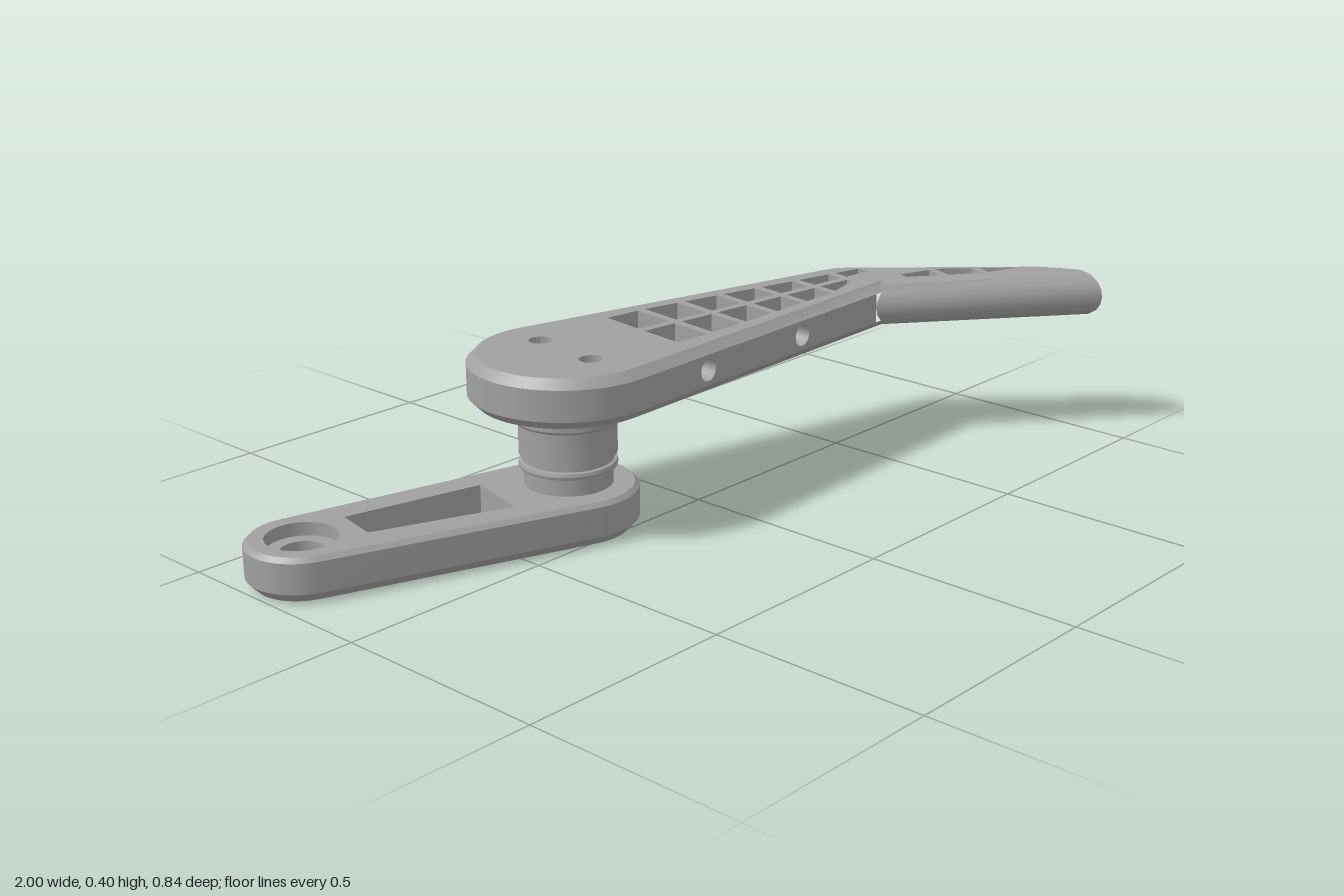
import * as THREE from 'three';
import { toCreasedNormals } from 'three/addons/utils/BufferGeometryUtils.js';

// Plan points are (x, v) with v = -z, listed counter-clockwise from above.
const V = (x, z) => new THREE.Vector2(x, -z);
const rad = THREE.MathUtils.degToRad;
const UP = (a, b, h) => [a, h, -b];

function arc(c, r, from, to, n) {
  return Array.from({ length: n + 1 }, (_, i) => {
    const t = rad(from + ((to - from) * i) / n);
    return new THREE.Vector2(c.x + r * Math.cos(t), c.y + r * Math.sin(t));
  });
}
const circle = (c, r, n = 28) => arc(c, r, 0, 360, n).slice(0, n);

// Flat face with holes, in the plane h of a frame
function cap(out, frame, contour, holes, h, flip = false) {
  const pts = [contour, ...holes].flat();
  const faces = THREE.ShapeUtils.triangulateShape(contour.slice(), holes.map((p) => p.slice().reverse()));
  const all = [contour, ...holes.map((p) => p.slice().reverse())].flat();
  if (all.length !== pts.length) return;
  for (const [i, j, k] of faces) {
    const [a, b, c] = [all[i], all[j], all[k]];
    const ccw = (b.x - a.x) * (c.y - a.y) - (b.y - a.y) * (c.x - a.x) > 0;
    for (const p of ccw !== flip ? [a, b, c] : [a, c, b]) out.push(...frame(p.x, p.y, h));
  }
}

// Wall between two rings of equal length
function wall(out, frame, lo, hLo, hi, hHi, skip = () => false) {
  lo.forEach((a0, i) => {
    if (skip(i)) return;
    const j = (i + 1) % lo.length;
    const [a1, b0, b1] = [lo[j], hi[i], hi[j]];
    for (const [p, h] of [[a0, hLo], [a1, hLo], [b1, hHi], [a0, hLo], [b1, hHi], [b0, hHi]])
      out.push(...frame(p.x, p.y, h));
  });
}

// Moves each edge of an outline inward by its own amount
function inset(pts, amount) {
  const n = pts.length;
  const normal = (i) => {
    const a = pts[i], b = pts[(i + 1) % n];
    return new THREE.Vector2(a.y - b.y, b.x - a.x).normalize();
  };
  return pts.map((p, i) => {
    const k = (i + n - 1) % n;
    const n1 = normal(k), n2 = normal(i), i1 = amount(k), i2 = amount(i);
    if (Math.abs(i1 - i2) < 1e-6) return p.clone().addScaledVector(n1.clone().add(n2), i1 / (1 + n1.dot(n2)));
    const det = n1.cross(n2);
    return new THREE.Vector2(p.x + (i1 * n2.y - i2 * n1.y) / det, p.y + (n1.x * i2 - n2.x * i1) / det);
  });
}

// Plate lofted through rings [y, insets by edge type]; ports are round holes in an edge
function plate(outline, types, rings, holes, ports = {}) {
  const out = [];
  const loops = rings.map(([, ins]) => inset(outline, (i) => ins[types[i] || 0]));
  const last = rings.length - 1;
  for (let k = 0; k < last; k++)
    wall(out, UP, loops[k], rings[k][0], loops[k + 1], rings[k + 1][0], (i) => ports[i] && k > 1 && k < 6);
  cap(out, UP, loops[0], holes, rings[0][0], true);
  cap(out, UP, loops[last], holes, rings[last][0]);
  for (const h of holes) {
    const r = h.slice().reverse();
    wall(out, UP, r, rings[0][0], r, rings[last][0]);
  }
  for (const [key, xs] of Object.entries(ports)) {
    const a = outline[key], b = outline[(+key + 1) % outline.length];
    const e = b.clone().sub(a), len = e.length();
    e.normalize();
    const frame = (s, y, h) => [a.x + e.x * s + e.y * h, y, -(a.y + e.y * s - e.x * h)];
    const [y0, y1] = [rings[2][0], rings[6][0]];
    const rim = xs.map((x) => circle(new THREE.Vector2((x - a.x) / e.x, (y0 + y1) / 2), 0.025, 20));
    const rect = [[0, y0], [len, y0], [len, y1], [0, y1]].map((p) => new THREE.Vector2(...p));
    cap(out, frame, rect, rim, 0);
    for (const c of rim) {
      const r = c.slice().reverse();
      wall(out, frame, r, -0.04, r, 0);
      cap(out, frame, c, [], -0.04);
    }
  }
  const g = new THREE.BufferGeometry();
  g.setAttribute('position', new THREE.Float32BufferAttribute(out, 3));
  return toCreasedNormals(g, 0.5);
}

// Grid cells clipped to a convex counter-clockwise region
function lattice(region, origin, angle, pu, pv, rib) {
  const cells = [];
  for (let i = -3; i < 9; i++) for (let j = -4; j < 4; j++) {
    const [u0, u1, w0, w1] = [i * pu + rib / 2, (i + 1) * pu - rib / 2, j * pv + rib / 2, (j + 1) * pv - rib / 2];
    let poly = [[u0, w0], [u1, w0], [u1, w1], [u0, w1]].map(([u, w]) =>
      new THREE.Vector2(u, w).rotateAround(new THREE.Vector2(), rad(angle)).add(origin));
    region.forEach((a, k) => {
      const e = region[(k + 1) % region.length].clone().sub(a);
      const side = (p) => e.cross(p.clone().sub(a));
      poly = poly.flatMap((p, m) => {
        const q = poly[(m + 1) % poly.length], sp = side(p), sq = side(q);
        const res = sp >= 0 ? [p] : [];
        if (sp >= 0 !== sq >= 0) res.push(p.clone().lerp(q, sp / (sp - sq)));
        return res;
      });
    });
    if (poly.length > 2 && THREE.ShapeUtils.area(poly) > 0.0012) cells.push(poly);
  }
  return cells;
}

const lathe = (profile) =>
  toCreasedNormals(new THREE.LatheGeometry(profile.map((p) => new THREE.Vector2(...p)), 48), 0.5);

export function createModel() {
  const group = new THREE.Group();
  const grey = new THREE.MeshStandardMaterial({ color: 0xa0a0a0 });
  grey.name = 'plain grey';
  const add = (name, geometry, x = 0, z = 0) => {
    const m = new THREE.Mesh(geometry, grey);
    m.name = name;
    m.position.set(x, 0, z);
    group.add(m);
  };
  const pivot = V(-0.29, -0.12), eye = V(-0.88, -0.3);

  // Lower arm: tapered link with slot, eye and three screw holes
  const link = [...arc(pivot, 0.155, -110.25, 76.25, 30), ...arc(eye, 0.12, 76.25, 249.75, 28)];
  const slot = [V(-0.475, -0.095), V(-0.44, -0.243), V(-0.755, -0.318), V(-0.775, -0.215)];
  const screws = [0, 120, 240].map((a) =>
    circle(new THREE.Vector2(pivot.x + 0.055 * Math.cos(rad(a)), pivot.y + 0.055 * Math.sin(rad(a))), 0.024, 20));
  add('lowerArm', plate(link, [], [[0, [0.02]], [0.022, [0]], [0.09, [0]], [0.1, [0.01]]],
    [slot, circle(eye, 0.077, 36), ...screws]));
  add('eyeRing', lathe([[0.047, 0.03], [0.078, 0.03], [0.078, 0.07], [0.047, 0.07], [0.047, 0.03]]), eye.x, -eye.y);

  // Stepped pivot shaft
  add('pivotShaft', lathe([[0, 0.1], [0.098, 0.1], [0.098, 0.138], [0.107, 0.14], [0.109, 0.147], [0.107, 0.154],
    [0.1, 0.156], [0.1, 0.168], [0.108, 0.17], [0.108, 0.246], [0.115, 0.246], [0.12, 0.252], [0.12, 0.29], [0, 0.29]]),
    pivot.x, -pivot.y);

  // Upper lever: chamfered edges (0), rounded grip edge (1), square tip (2)
  const lever = [V(0.55, 0.072), V(0.99, 0.42), V(1, 0.31), V(0.97, 0.25), V(0.645, -0.095), V(0.625, -0.114),
    V(0.6, -0.125), ...arc(pivot, 0.215, 76, 271.7, 36)];
  const rings = [-90, -65, -39.5, -20, 0, 20, 39.5, 65, 90].map((d) => {
    const s = Math.sin(rad(d));
    return [0.345 + 0.055 * s, [Math.max(0, Math.abs(s) * 0.055 - 0.035), 0.055 * (1 - Math.cos(rad(d))), 0]];
  });
  const bodyWindow = [V(-0.1, 0.03), V(0.43, 0.03), V(0.64, -0.025), V(0.64, -0.055), V(-0.075, -0.235)];
  const gripWindow = [V(0.6, 0.03), V(0.85, 0.23), V(0.93, 0.245), V(0.69, 0.01), V(0.58, 0.015)];
  add('upperLever', plate(lever, [1, 2], rings, [
    circle(V(-0.28, -0.21), 0.026), circle(V(-0.3, -0.035), 0.026),
    ...lattice(bodyWindow, V(-0.087, -0.1), -6.8, 0.108, 0.13, 0.02),
    ...lattice(gripWindow, V(0.665, 0.04), -20, 0.1, 0.1, 0.018),
  ], { 6: [-0.02, 0.49], [lever.length - 1]: [-0.065, 0.265] }));

  return group;
}
